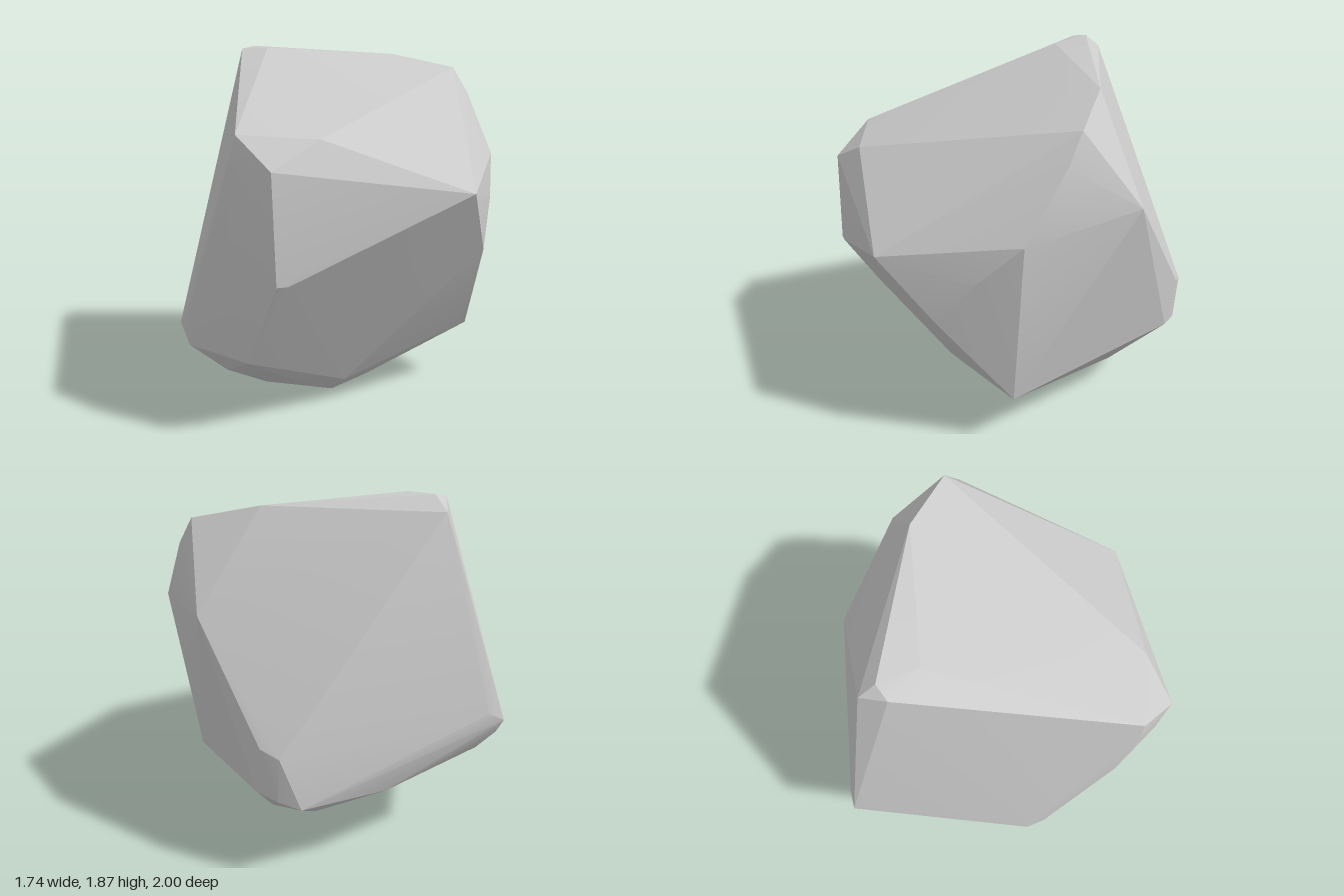
import * as THREE from 'three';
import { ConvexGeometry } from 'three/addons/geometries/ConvexGeometry.js';
import { toCreasedNormals } from 'three/addons/utils/BufferGeometryUtils.js';

// Corners of the boulder, grouped by region
const corners = {
  crown: [[-0.06, 1.87, -0.6], [-0.15, 1.85, -0.6], [-0.04, 1.8, -0.69], [-0.11, 1.85, -0.4],
    [0.52, 1.82, -0.02], [0.69, 1.74, 0.3], [0.7, 1.6, 0.4]],
  frontTip: [[0.05, 1.14, 1], [0, 1.13, 0.98], [0.3, 0.82, 0.86], [0.47, 1.06, 0.76],
    [0.65, 1.27, 0.62], [0.53, 0.32, 0.57], [0.49, 0.32, 0.57]],
  lowX: [[-0.85, 1.42, 0.36], [-0.57, 1.4, 0.62], [-0.87, 1.32, 0.34], [-0.83, 1.27, 0.6],
    [-0.83, 0.77, 0.63], [-0.78, 0.77, 0.65], [-0.87, 0.66, 0.32], [-0.83, 0.36, 0.4],
    [-0.845, 0.5, -0.1], [-0.81, 0.4, -0.25], [-0.83, 0.31, -0.13]],
  highX: [[0.87, 1.34, 0.06], [0.85, 0.77, -0.33], [0.81, 0.73, -0.42],
    [0.84, 0.51, -0.28], [0.81, 0.49, -0.4], [0.75, 0.46, -0.5]],
  backTip: [[-0.19, 0.77, -1], [-0.11, 0.82, -0.96], [-0.19, 0.69, -0.96],
    [-0.18, 0.56, -0.855], [0.34, 0.46, -0.68]],
  base: [[-0.16, 0, 0.22], [0.07, 0.03, 0.24], [-0.2, 0.11, 0.37], [-0.35, 0.09, 0.29],
    [-0.58, 0.145, 0.2], [-0.72, 0.2, 0.05], [-0.225, 0.19, -0.23], [0.48, 0.24, -0.33],
    [0.6, 0.24, -0.12], [0.48, 0.17, 0.1]],
};

export function createModel() {
  const group = new THREE.Group();
  group.name = 'rock';

  // One faceted convex stone; shallow edges are softened, strong ones stay sharp
  const points = Object.values(corners).flat().map((p) => new THREE.Vector3(...p));
  const geometry = toCreasedNormals(new ConvexGeometry(points), 0.25);
  const boulder = new THREE.Mesh(geometry, new THREE.MeshStandardMaterial({ color: 0xcccccc }));
  boulder.name = 'boulder';
  group.add(boulder);
  return group;
}
